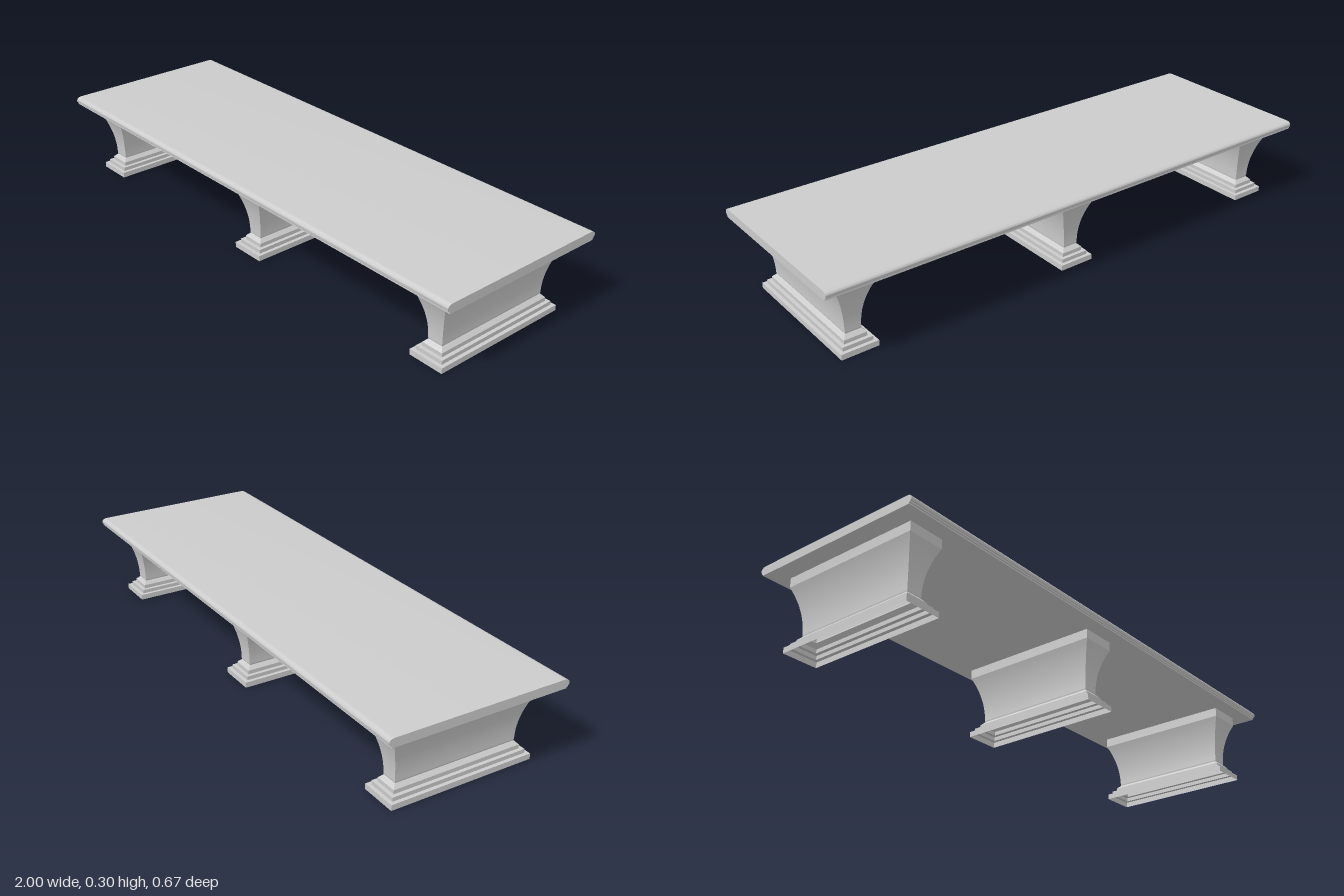
import * as THREE from 'three';
import { toCreasedNormals } from 'three/addons/utils/BufferGeometryUtils.js';

const HALF_X = 0.067, HALF_Z = 0.267; // widest half sizes of a pedestal

// Sweeps a profile of [inset, y] points round a rectangle with mitred corners
function mitredRing(profile) {
  const pos = [];
  const corners = ([d, y]) => {
    const x = HALF_X - d, z = HALF_Z - d;
    return [[x, y, z], [x, y, -z], [-x, y, -z], [-x, y, z]];
  };
  for (let i = 0; i < profile.length - 1; i++) {
    const lo = corners(profile[i]), hi = corners(profile[i + 1]);
    for (let k = 0; k < 4; k++) {
      const n = (k + 1) % 4;
      pos.push(...lo[k], ...lo[n], ...hi[n], ...lo[k], ...hi[n], ...hi[k]);
    }
  }
  const geo = new THREE.BufferGeometry();
  geo.setAttribute('position', new THREE.Float32BufferAttribute(pos, 3));
  return toCreasedNormals(geo, 0.3);
}

export function createModel() {
  const group = new THREE.Group();
  const solid = new THREE.MeshStandardMaterial({ color: 0xcccccc });
  const shell = new THREE.MeshStandardMaterial({ color: 0xcccccc, side: THREE.DoubleSide });

  // Table top: moulded edge profile along front and back, run along x
  const edge = [[0.324, 0.268], [0.324, 0.273], [0.329, 0.273], [0.329, 0.278]];
  const shape = new THREE.Shape();
  shape.moveTo(-0.324, 0.268);
  edge.forEach(([z, y]) => shape.lineTo(z, y));
  shape.quadraticCurveTo(0.3335, 0.279, 0.3335, 0.285);
  shape.bezierCurveTo(0.3335, 0.294, 0.327, 0.3, 0.314, 0.3);
  shape.lineTo(-0.314, 0.3);
  shape.bezierCurveTo(-0.327, 0.3, -0.3335, 0.294, -0.3335, 0.285);
  shape.quadraticCurveTo(-0.3335, 0.279, -0.329, 0.278);
  edge.slice().reverse().forEach(([z, y]) => shape.lineTo(-z, y));
  let topGeo = new THREE.ExtrudeGeometry(shape, { depth: 2, bevelEnabled: false, curveSegments: 8 });
  topGeo.translate(0, 0, -1).rotateY(Math.PI / 2);
  topGeo = toCreasedNormals(topGeo, 0.6);
  const top = new THREE.Mesh(topGeo, solid);
  top.name = 'tableTop';
  group.add(top);

  // Stepped plinth, open underneath
  const plinthGeo = mitredRing([
    [0, 0], [0, 0.02], [0.013, 0.02], [0.013, 0.034],
    [0.026, 0.034], [0.026, 0.048], [0.039, 0.061], [0.038, 0.066],
  ]);

  // Shaft flaring outward on a circular arc, with an upright cap band
  const shaft = [];
  const R = 0.39, end = Math.asin(0.168 / R), steps = 14;
  for (let i = 0; i <= steps; i++) {
    const a = end * i / steps;
    shaft.push([0.038 - R * (1 - Math.cos(a)), 0.066 + R * Math.sin(a)]);
  }
  shaft[steps] = [0, 0.234];
  shaft.push([0, 0.268]);
  const shaftGeo = mitredRing(shaft);

  // Three pedestals
  for (const [name, x] of [['right', -0.867], ['middle', 0], ['left', 0.867]]) {
    const pedestal = new THREE.Group();
    pedestal.name = name + 'Pedestal';
    pedestal.position.x = x;
    const base = new THREE.Mesh(plinthGeo, shell);
    base.name = 'plinth';
    const body = new THREE.Mesh(shaftGeo, shell);
    body.name = 'shaft';
    pedestal.add(base, body);
    group.add(pedestal);
  }
  return group;
}
